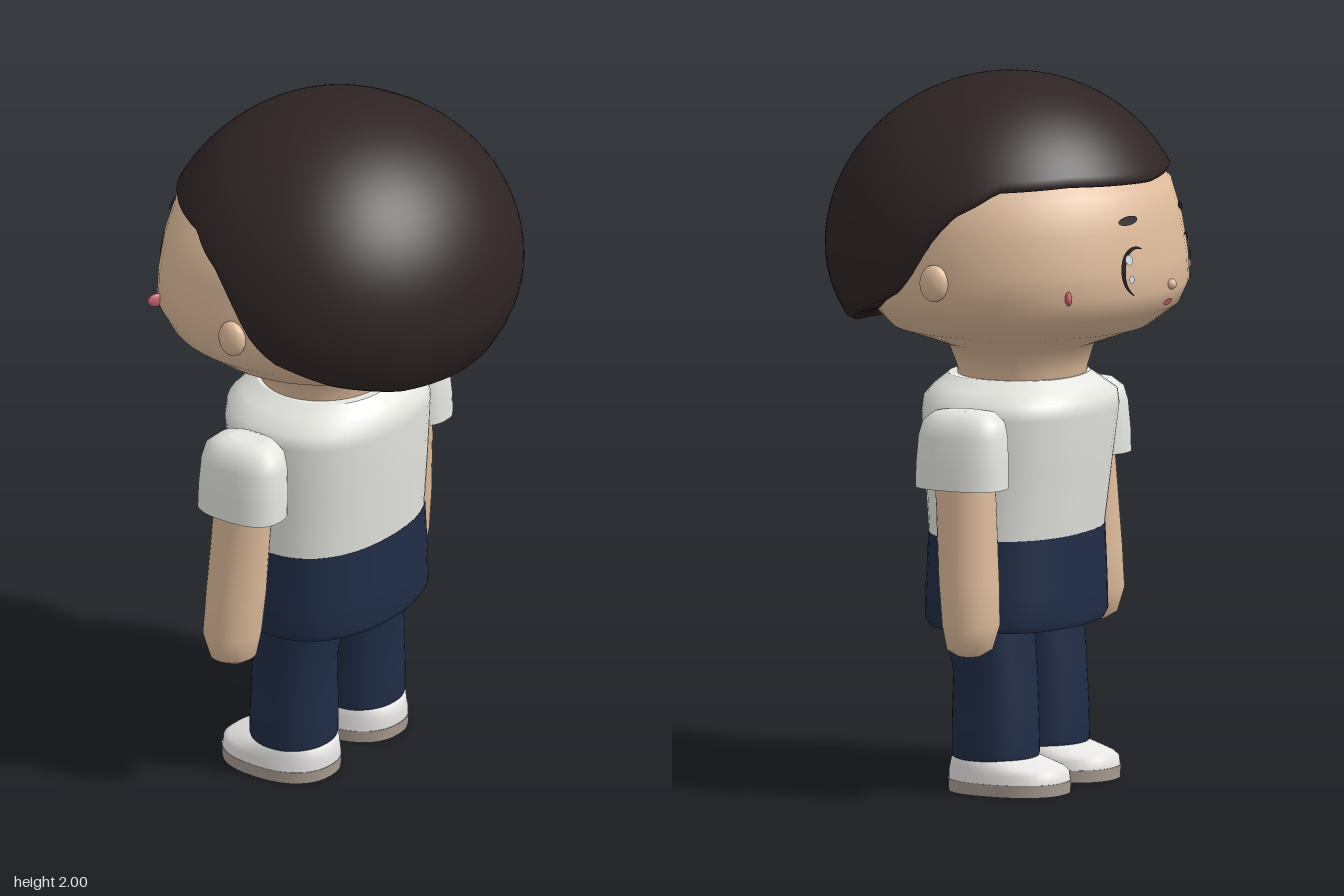
import * as THREE from 'three';

const mat = (name, color, side = THREE.FrontSide) => {
  const m = new THREE.MeshStandardMaterial({ color, side });
  m.name = name;
  return m;
};

// Surface from rows of points, closed around; fn(row, turn) gives [x, y, z]
function gridSurface(rows, n, fn) {
  const pos = [], idx = [];
  for (let i = 0; i < rows; i++)
    for (let j = 0; j < n; j++) pos.push(...fn(i, (j / n) * Math.PI * 2));
  for (let i = 0; i < rows - 1; i++)
    for (let j = 0; j < n; j++) {
      const a = i * n + j, b = i * n + (j + 1) % n;
      idx.push(a, b, b + n, a, b + n, a + n);
    }
  const g = new THREE.BufferGeometry();
  g.setAttribute('position', new THREE.Float32BufferAttribute(pos, 3));
  g.setIndex(idx);
  g.computeVertexNormals();
  return g;
}

const power = (v, p) => Math.sign(v) * Math.abs(v) ** (2 / p);

// Capped loft through rings [y, centreX, radiusX, zMin, zMax], bottom to top
function loft(rings, p = 2, side = 1, n = 40) {
  const cap = ([y, cx, , a, b]) => [y, cx, 0, (a + b) / 2, (a + b) / 2];
  const first = rings[0], last = rings[rings.length - 1];
  const all = [cap(first), first, ...rings, last, cap(last)]; // doubled rings keep the rims sharp
  return gridSurface(all.length, n, (i, t) => {
    const [y, cx, rx, a, b] = all[i];
    return [cx * side + rx * power(Math.sin(t), p), y, (a + b) / 2 + (b - a) / 2 * power(Math.cos(t), p)];
  });
}

const HEAD = [
  [1.12, 0, 0.19, -0.205, 0.14], [1.18, 0, 0.195, -0.215, 0.145], [1.245, 0, 0.22, -0.235, 0.17],
  [1.3, 0, 0.37, -0.39, 0.33], [1.36, 0, 0.45, -0.47, 0.38], [1.42, 0, 0.485, -0.495, 0.4],
  [1.5, 0, 0.488, -0.49, 0.41], [1.6, 0, 0.475, -0.473, 0.4], [1.7, 0, 0.44, -0.445, 0.38],
  [1.8, 0, 0.34, -0.33, 0.31], [1.9, 0, 0.18, -0.18, 0.18],
];

// Depth of the face at (x, y)
function faceZ(x, y) {
  const i = HEAD.findIndex(r => r[0] > y), a = HEAD[i - 1], b = HEAD[i];
  const k = (y - a[0]) / (b[0] - a[0]);
  const [rx, z0, z1] = [2, 3, 4].map(c => a[c] + (b[c] - a[c]) * k);
  return (z0 + z1) / 2 - (z1 - z0) / 2 * Math.sqrt(1 - (x / rx) ** 2);
}

// Flat shape laid onto the face
function decal(shape, lift = 0.006) {
  const g = new THREE.ShapeGeometry(shape, 10), p = g.attributes.position;
  for (let i = 0; i < p.count; i++) p.setZ(i, faceZ(p.getX(i), p.getY(i)) - lift);
  g.computeVertexNormals();
  return g;
}

const ellipse = (x, y, rx, ry, turn = 0) =>
  new THREE.Shape().absellipse(x, y, rx, ry, 0, Math.PI * 2, false, turn);

// Outer hair surface: dome above y 1.52, tucked in below
function hairPoint(y, a, scale = 1) {
  const f = scale * (y > 1.52 ? Math.sqrt(Math.max(0, 1 - ((y - 1.52) / 0.48) ** 2))
    : 1 - 0.16 * ((1.52 - y) / 0.23) ** 2);
  const rz = Math.cos(a) > 0 ? 0.49 : 0.508;
  return [0.52 * f * power(Math.sin(a), 2.1), y, f * (0.02 + rz * power(Math.cos(a), 2.1))];
}

// Hem height by angle from the nape (0) to the fringe (180)
const HEM = [[0, 1.29], [28, 1.305], [56, 1.36], [76, 1.425], [83, 1.48], [92, 1.6],
  [98, 1.655], [106, 1.69], [113, 1.725], [140, 1.735], [180, 1.72]];
function hemY(a) {
  const d = Math.min(a, Math.PI * 2 - a) * 180 / Math.PI;
  const i = Math.max(1, HEM.findIndex(h => h[0] >= d - 1e-6));
  const [d0, y0] = HEM[i - 1], [d1, y1] = HEM[i];
  return y0 + (y1 - y0) * (d - d0) / (d1 - d0);
}

function hairGeometry() {
  const rows = 26;
  return gridSurface(rows, 120, (i, a) => {
    const hem = hemY(a);
    if (i === 0) return hairPoint(hem + 0.02, a, 0.7);
    if (i === 1) return hairPoint(hem, a, 0.97);
    const t = (i - 2) / (rows - 3), low = hem + 0.012;
    return hairPoint(low + (2 - low) * Math.sin(t * Math.PI / 2), a);
  });
}

export function createModel() {
  const model = new THREE.Group();
  model.name = 'child';
  const skin = mat('skin', 0xdebb9b);
  const hair = mat('dark brown hair', 0x2f2424);
  const shirt = mat('white shirt', 0xe6e6e1);
  const navy = mat('navy cloth', 0x202d47);
  const shoe = mat('white shoe', 0xf0eeec);
  const sole = mat('grey sole', 0xa89c92);
  const pink = mat('pink', 0xc4626e, THREE.DoubleSide);
  const dark = mat('eye black', 0x1c1515, THREE.DoubleSide);
  const glint = mat('eye glint', 0xd5dfe6, THREE.DoubleSide);

  const add = (name, geometry, material) => {
    const m = new THREE.Mesh(geometry, material);
    m.name = name;
    model.add(m);
    return m;
  };
  const ball = (name, material, x, y, z, rx, ry, rz) => {
    const m = add(name, new THREE.SphereGeometry(1, 16, 12), material);
    m.position.set(x, y, z);
    m.scale.set(rx, ry, rz);
    return m;
  };

  // Head and hair
  add('head', loft(HEAD, 2, 1, 56), skin);
  add('hair', hairGeometry(), hair);
  ball('nose', skin, 0, 1.435, -0.497, 0.015, 0.015, 0.015);
  add('mouth', decal(ellipse(0, 1.385, 0.026, 0.01)), pink);

  // Body
  add('shirt', loft([
    [0.72, 0, 0.3, -0.235, 0.2], [0.9, 0, 0.305, -0.26, 0.215], [1.06, 0, 0.31, -0.283, 0.225],
    [1.1, 0, 0.3, -0.28, 0.222], [1.13, 0, 0.25, -0.25, 0.2], [1.16, 0, 0.2, -0.215, 0.165],
  ], 2.3), shirt);
  add('hips', loft([
    [0.46, 0, 0.295, -0.235, 0.2], [0.48, 0, 0.307, -0.245, 0.212],
    [0.56, 0, 0.306, -0.243, 0.21], [0.72, 0, 0.301, -0.236, 0.201],
  ], 2.3), navy);

  for (const s of [1, -1]) {
    const side = s > 0 ? 'left' : 'right';

    // Arms
    add(side + 'Sleeve', loft([
      [0.885, 0.39, 0.089, -0.17, 0.095], [0.95, 0.387, 0.088, -0.17, 0.095],
      [1.03, 0.382, 0.084, -0.165, 0.09], [1.07, 0.378, 0.076, -0.155, 0.08],
      [1.095, 0.372, 0.056, -0.125, 0.05], [1.1, 0.37, 0.03, -0.09, 0.015],
    ], 2.5, s), shirt);
    add(side + 'Arm', loft([
      [0.412, 0.395, 0.03, -0.095, -0.03], [0.432, 0.395, 0.07, -0.128, -0.002],
      [0.5, 0.395, 0.089, -0.148, 0.01], [0.62, 0.39, 0.083, -0.145, 0.025],
      [0.9, 0.378, 0.07, -0.13, 0.045], [1, 0.375, 0.06, -0.12, 0.04],
    ], 2, s), skin);

    // Legs
    add(side + 'Leg', loft([
      [0.095, 0.158, 0.118, -0.145, 0.085], [0.108, 0.158, 0.122, -0.15, 0.09],
      [0.2, 0.158, 0.12, -0.148, 0.09], [0.34, 0.156, 0.122, -0.14, 0.085],
      [0.42, 0.156, 0.126, -0.135, 0.105], [0.5, 0.156, 0.126, -0.13, 0.11],
    ], 2.2, s), navy);

    // Shoes
    add(side + 'Sole', loft([
      [0, 0.158, 0.133, -0.245, 0.1], [0.035, 0.158, 0.134, -0.247, 0.102],
    ], 2.3, s), sole);
    add(side + 'Shoe', loft([
      [0.035, 0.158, 0.133, -0.245, 0.1], [0.06, 0.158, 0.13, -0.242, 0.1],
      [0.073, 0.158, 0.126, -0.225, 0.097], [0.092, 0.158, 0.12, -0.165, 0.092],
      [0.102, 0.158, 0.112, -0.135, 0.08],
    ], 2.3, s), shoe);

    // Ear and cheek
    ball(side + 'Ear', skin, s * 0.49, 1.47, 0, 0.027, 0.052, 0.043);
    const cheek = ball(side + 'Cheek', pink, s * 0.362, 1.432, -0.355, 0.028, 0.02, 0.01);
    cheek.rotation.y = s * 0.5;

    // Eye: crescent lash on the outer side, with two glints
    const lash = new THREE.Shape();
    for (let i = 0; i <= 24; i++) {
      const t = -1.25 + (i / 24) * 3.3;
      lash[i ? 'lineTo' : 'moveTo'](s * (0.16 + 0.058 * Math.cos(t)), 1.49 + 0.07 * Math.sin(t));
    }
    for (let i = 24; i >= 0; i--) {
      const t = -1.25 + (i / 24) * 3.3, w = 0.003 + 0.012 * Math.sin(i / 24 * Math.PI);
      lash.lineTo(s * (0.16 + (0.058 - w) * Math.cos(t)), 1.49 + (0.07 - w) * Math.sin(t));
    }
    add(side + 'Eye', decal(lash), dark);
    add(side + 'UpperGlint', decal(ellipse(s * 0.188, 1.525, 0.012, 0.014), 0.008), glint);
    add(side + 'LowerGlint', decal(ellipse(s * 0.186, 1.47, 0.009, 0.011), 0.008), glint);
    add(side + 'Brow', decal(ellipse(s * 0.165, 1.632, 0.036, 0.012, s * -0.1), 0.008), dark);
  }
  return model;
}
